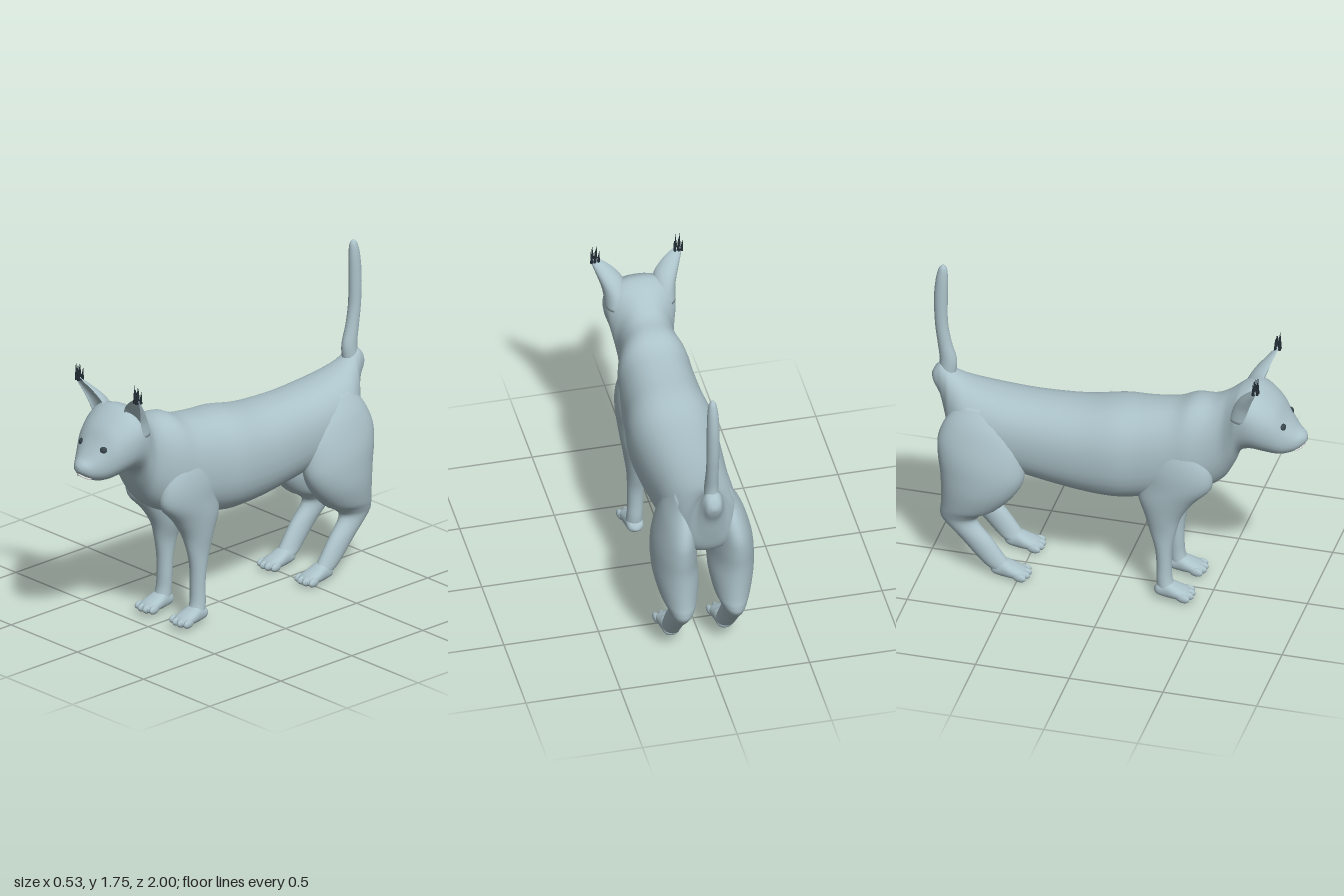
import * as THREE from 'three';

const skin = new THREE.MeshStandardMaterial({ color: 0xacc3ca, side: THREE.DoubleSide });
skin.name = 'greySkin';
const dark = new THREE.MeshStandardMaterial({ color: 0x222d34 });
dark.name = 'darkTuft';
const eyeMat = new THREE.MeshStandardMaterial({ color: 0x38454b });
eyeMat.name = 'eyeGrey';
const white = new THREE.MeshStandardMaterial({ color: 0xf2f4f2 });
white.name = 'toothWhite';

// Catmull-Rom refinement of rows of numbers
function refine(rows, steps) {
  const out = [];
  for (let i = 0; i < rows.length - 1; i++) {
    const a = rows[Math.max(i - 1, 0)], b = rows[i], c = rows[i + 1], d = rows[Math.min(i + 2, rows.length - 1)];
    for (let s = 0; s < steps; s++) {
      const t = s / steps;
      out.push(b.map((v, k) => {
        const cubic = 3 * (v - c[k]) + d[k] - a[k];
        const square = 2 * a[k] - 5 * v + 4 * c[k] - d[k];
        return v + 0.5 * t * (c[k] - a[k] + t * (square + t * cubic));
      }));
    }
  }
  out.push(rows[rows.length - 1]);
  return out;
}

// Closed skin over rings; ringPoint(row, cos, sin) gives one point, rings run counter-clockwise
function loft(rows, ringPoint, centre, n = 32, steps = 4) {
  const rings = refine(rows, steps), pos = [], idx = [];
  for (const r of rings) {
    for (let j = 0; j < n; j++) {
      const a = (j / n) * Math.PI * 2;
      pos.push(...ringPoint(r, Math.cos(a), Math.sin(a)));
    }
  }
  for (let i = 0; i < rings.length - 1; i++) {
    for (let j = 0; j < n; j++) {
      const a = i * n + j, b = i * n + (j + 1) % n;
      idx.push(a, b, a + n, b, b + n, a + n);
    }
  }
  const first = rings.length * n, last = (rings.length - 1) * n;
  pos.push(...centre(rings[0]), ...centre(rings[rings.length - 1]));
  for (let j = 0; j < n; j++) {
    const k = (j + 1) % n;
    idx.push(first, k, j, first + 1, last + j, last + k);
  }
  const g = new THREE.BufferGeometry();
  g.setAttribute('position', new THREE.Float32BufferAttribute(pos, 3));
  g.setIndex(idx);
  g.computeVertexNormals();
  return g;
}

// Rings facing z: rows are [z, top, bottom, half width, widening towards the top]
const soft = (v) => Math.sign(v) * Math.pow(Math.abs(v), 0.88);
const loftZ = (rows) => loft(rows,
  ([z, t, b, w, k], c, s) => [w * soft(c) * (1 + k * s), (t + b) / 2 + (t - b) / 2 * soft(s), z],
  ([z, t, b]) => [0, (t + b) / 2, z]);

// Rings facing y: rows are [y, x, z, radius x, radius z]; scoop hollows the front half
const loftY = (rows, side = 1, scoop = 1) => loft(rows,
  ([y, x, z, rx, rz], c, s) => [side * x + rx * c, y, z - rz * s * (s < 0 ? scoop : 1)],
  ([y, x, z, , rz]) => [side * x, y, z - (scoop < 0 ? rz * 0.4 : 0)]);

function add(parent, name, geometry, material, x = 0, y = 0, z = 0) {
  const m = new THREE.Mesh(geometry, material);
  m.name = name;
  m.position.set(x, y, z);
  parent.add(m);
  return m;
}

// Paw with four toes
function paw(parent, name, x, zTip, y) {
  const g = new THREE.Group();
  g.name = name;
  g.position.set(x, y, zTip);
  parent.add(g);
  add(g, 'foot', loftZ([
    [-0.22, 0.045, 0.03, 0.012, 0], [-0.2, 0.075, 0.012, 0.04, 0], [-0.15, 0.095, 0, 0.048, 0],
    [-0.1, 0.075, 0, 0.055, 0], [-0.05, 0.055, 0, 0.055, 0], [-0.025, 0.035, 0.008, 0.035, 0]]), skin);
  for (let i = 0; i < 4; i++) {
    const u = i - 1.5;
    const toe = add(g, 'toe', new THREE.SphereGeometry(1, 16, 12), skin, u * 0.032, 0.024, -0.04 - Math.abs(u) * 0.012);
    toe.scale.set(0.017, 0.024, 0.04);
    toe.rotation.y = u * 0.15;
  }
}

export function createModel() {
  const cat = new THREE.Group();
  cat.name = 'cat';

  // Rump, trunk, neck and head in one skin
  add(cat, 'bodyAndHead', loftZ([
    [-1, 1.09, 1.07, 0.012, 0], [-0.985, 1.125, 1.03, 0.038, 0], [-0.95, 1.16, 0.96, 0.055, 0],
    [-0.92, 1.15, 0.85, 0.075, -0.1], [-0.88, 1.115, 0.74, 0.12, -0.2], [-0.8, 1.075, 0.68, 0.17, -0.1],
    [-0.65, 1.05, 0.62, 0.19, 0], [-0.45, 1.04, 0.58, 0.2, 0], [-0.2, 1.05, 0.545, 0.22, 0],
    [0, 1.09, 0.535, 0.23, 0], [0.15, 1.105, 0.555, 0.212, 0], [0.3, 1.13, 0.58, 0.2, 0],
    [0.4, 1.175, 0.62, 0.19, 0], [0.5, 1.19, 0.67, 0.16, 0], [0.57, 1.225, 0.73, 0.15, 0],
    [0.62, 1.26, 0.82, 0.162, 0.05], [0.66, 1.285, 0.915, 0.178, 0.1], [0.72, 1.3, 0.945, 0.188, 0.1],
    [0.78, 1.275, 0.94, 0.178, 0.08], [0.85, 1.215, 0.93, 0.15, 0.05], [0.9, 1.14, 0.935, 0.115, 0],
    [0.95, 1.075, 0.955, 0.075, 0], [0.985, 1.05, 0.985, 0.042, 0], [1, 1.03, 1.005, 0.015, 0]]), skin);

  // Upright tail
  add(cat, 'tail', loftY([
    [1.1, 0, -0.92, 0.04, 0.045], [1.18, 0, -0.915, 0.036, 0.045], [1.28, 0, -0.935, 0.033, 0.037],
    [1.4, 0, -0.952, 0.033, 0.034], [1.55, 0, -0.955, 0.033, 0.036], [1.66, 0, -0.95, 0.029, 0.032],
    [1.72, 0, -0.945, 0.021, 0.024], [1.742, 0, -0.944, 0.012, 0.014], [1.75, 0, -0.943, 0.003, 0.003]]), skin);

  // Upper lip edge
  const lip = new THREE.CatmullRomCurve3([[-0.05, 0.962, 0.947], [-0.025, 0.972, 0.972], [0, 0.984, 0.986],
    [0.025, 0.972, 0.972], [0.05, 0.962, 0.947]].map((p) => new THREE.Vector3(...p)));
  add(cat, 'teeth', new THREE.TubeGeometry(lip, 24, 0.006, 8), white);

  for (const side of [1, -1]) {
    const label = side > 0 ? 'left' : 'right';

    add(cat, label + 'FrontLeg', loftY([
      [0.03, 0.13, 0.295, 0.042, 0.045], [0.06, 0.13, 0.285, 0.045, 0.048], [0.12, 0.128, 0.272, 0.042, 0.042],
      [0.2, 0.125, 0.27, 0.042, 0.04], [0.3, 0.125, 0.267, 0.044, 0.046], [0.4, 0.123, 0.262, 0.05, 0.07],
      [0.5, 0.115, 0.262, 0.072, 0.1], [0.6, 0.115, 0.28, 0.085, 0.15], [0.7, 0.122, 0.33, 0.086, 0.19],
      [0.8, 0.13, 0.335, 0.08, 0.185], [0.9, 0.125, 0.335, 0.07, 0.14], [1, 0.11, 0.33, 0.045, 0.08],
      [1.04, 0.1, 0.33, 0.02, 0.03]], side), skin);
    paw(cat, label + 'FrontPaw', side * 0.13, 0.44, 0.012);

    add(cat, label + 'HindLeg', loftY([
      [0.025, 0.14, -0.58, 0.04, 0.045], [0.06, 0.142, -0.61, 0.045, 0.07], [0.1, 0.145, -0.645, 0.045, 0.076],
      [0.2, 0.145, -0.725, 0.048, 0.085], [0.3, 0.14, -0.815, 0.056, 0.092], [0.35, 0.138, -0.808, 0.075, 0.112],
      [0.4, 0.14, -0.765, 0.096, 0.15], [0.5, 0.145, -0.718, 0.115, 0.195], [0.6, 0.15, -0.695, 0.115, 0.222],
      [0.7, 0.148, -0.7, 0.11, 0.23], [0.8, 0.14, -0.71, 0.095, 0.222], [0.9, 0.125, -0.72, 0.075, 0.175],
      [0.99, 0.11, -0.74, 0.035, 0.09]], side), skin);
    paw(cat, label + 'HindPaw', side * 0.142, -0.43, 0);

    // Hollow ear
    add(cat, label + 'Ear', loftY([
      [1.16, 0.125, 0.7, 0.06, 0.08], [1.24, 0.13, 0.73, 0.062, 0.085], [1.3, 0.147, 0.75, 0.062, 0.07],
      [1.35, 0.177, 0.77, 0.05, 0.045], [1.385, 0.205, 0.785, 0.033, 0.025], [1.405, 0.22, 0.79, 0.016, 0.012]],
    side, -0.35), skin);

    // Tuft of pointed hairs on the ear tip
    const tuft = new THREE.Group();
    tuft.name = label + 'EarTuft';
    cat.add(tuft);
    for (let i = 0; i < 5; i++) {
      const h = [0.075, 0.1, 0.085, 0.1, 0.075][i];
      const hair = add(tuft, 'hair', new THREE.ConeGeometry(0.009, h, 8), dark,
        side * (0.2 + i * 0.01), 1.39 + h / 2, 0.775 + (i % 2) * 0.018);
      hair.rotation.z = -side * (i - 2) * 0.04;
    }

    // Eye
    const eye = add(cat, label + 'Eye', new THREE.SphereGeometry(1, 24, 16), eyeMat, side * 0.082, 1.115, 0.886);
    eye.scale.set(0.024, 0.021, 0.02);
    eye.rotation.y = side * 0.6;
  }
  return cat;
}
